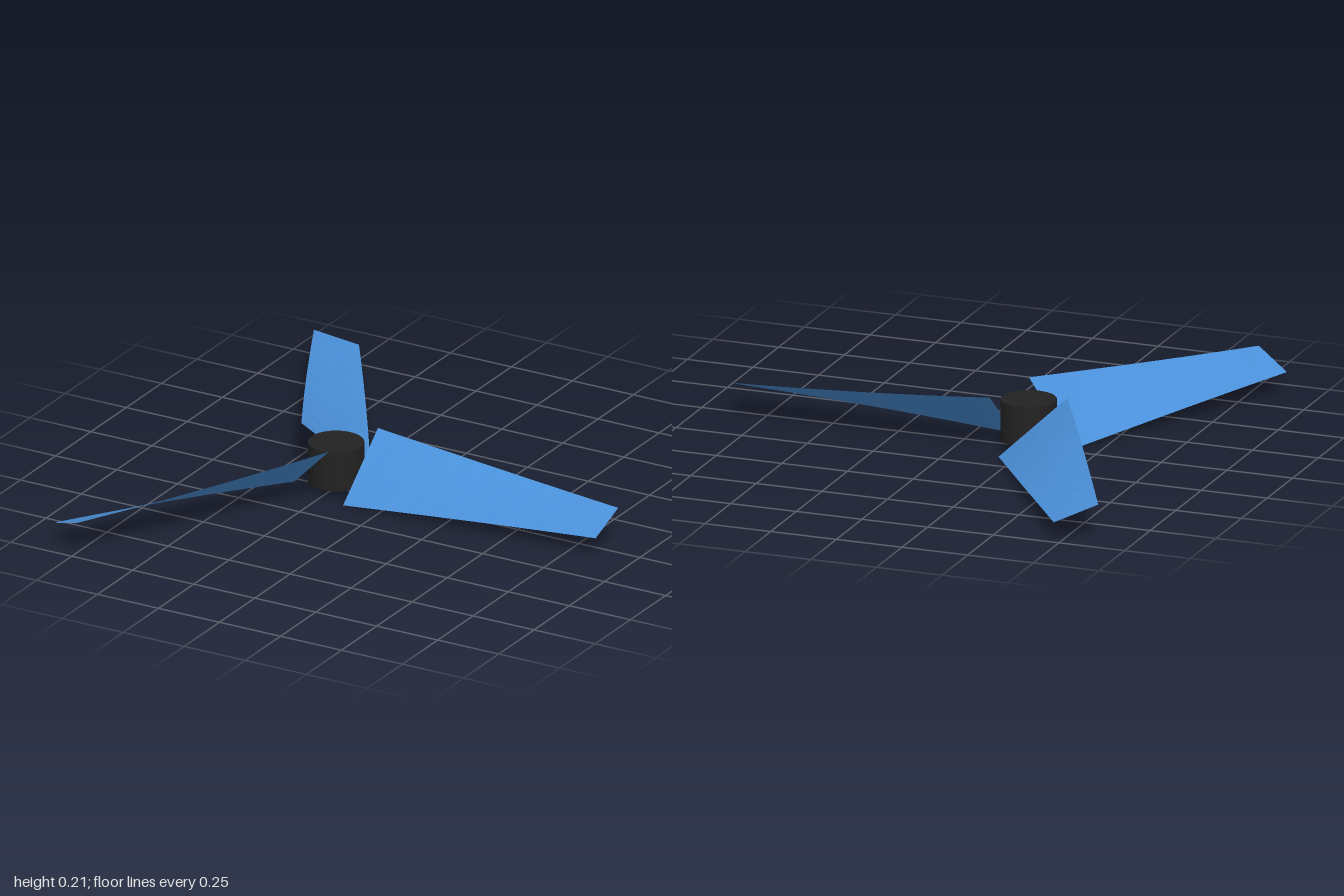
import * as THREE from 'three';

const CENTER_Y = 0.104;
const ROOT = { r: 0.1, half: 0.161, pitch: 40 };
const TIP = { r: 1.11, half: 0.085, pitch: 20 };

// Thin blade along +x, tapering and untwisting from root to tip
function bladeGeometry() {
  const geo = new THREE.PlaneGeometry(1, 2, 10, 2);
  const pos = geo.attributes.position;
  for (let i = 0; i < pos.count; i++) {
    const t = pos.getX(i) + 0.5;
    const side = -pos.getY(i); // -1 rear edge, +1 front edge
    const half = THREE.MathUtils.lerp(ROOT.half, TIP.half, t);
    const pitch = THREE.MathUtils.degToRad(THREE.MathUtils.lerp(ROOT.pitch, TIP.pitch, t));
    pos.setXYZ(
      i,
      THREE.MathUtils.lerp(ROOT.r, TIP.r, t),
      -side * half * Math.sin(pitch),
      side * half * Math.cos(pitch)
    );
  }
  geo.computeVertexNormals();
  return geo;
}

export function createModel() {
  const blue = new THREE.MeshStandardMaterial({ color: 0x4a90d9, side: THREE.DoubleSide, flatShading: true });
  blue.name = 'bladeBlue';
  const black = new THREE.MeshStandardMaterial({ color: 0x222222 });
  black.name = 'hubBlack';

  const model = new THREE.Group();
  model.name = 'propeller';

  // Rotor axis sits off-centre so the three-blade outline is centred
  const rotor = new THREE.Group();
  rotor.name = 'rotor';
  rotor.position.set(-0.245, CENTER_Y, 0);
  model.add(rotor);

  // Hub
  const hub = new THREE.Mesh(new THREE.CylinderGeometry(0.1, 0.1, 0.15, 32), black);
  hub.name = 'hub';
  rotor.add(hub);

  // Three equally spaced blades
  const geo = bladeGeometry();
  for (let i = 0; i < 3; i++) {
    const blade = new THREE.Mesh(geo, blue);
    blade.name = `blade${i + 1}`;
    blade.rotation.y = (i * Math.PI * 2) / 3;
    rotor.add(blade);
  }
  return model;
}
